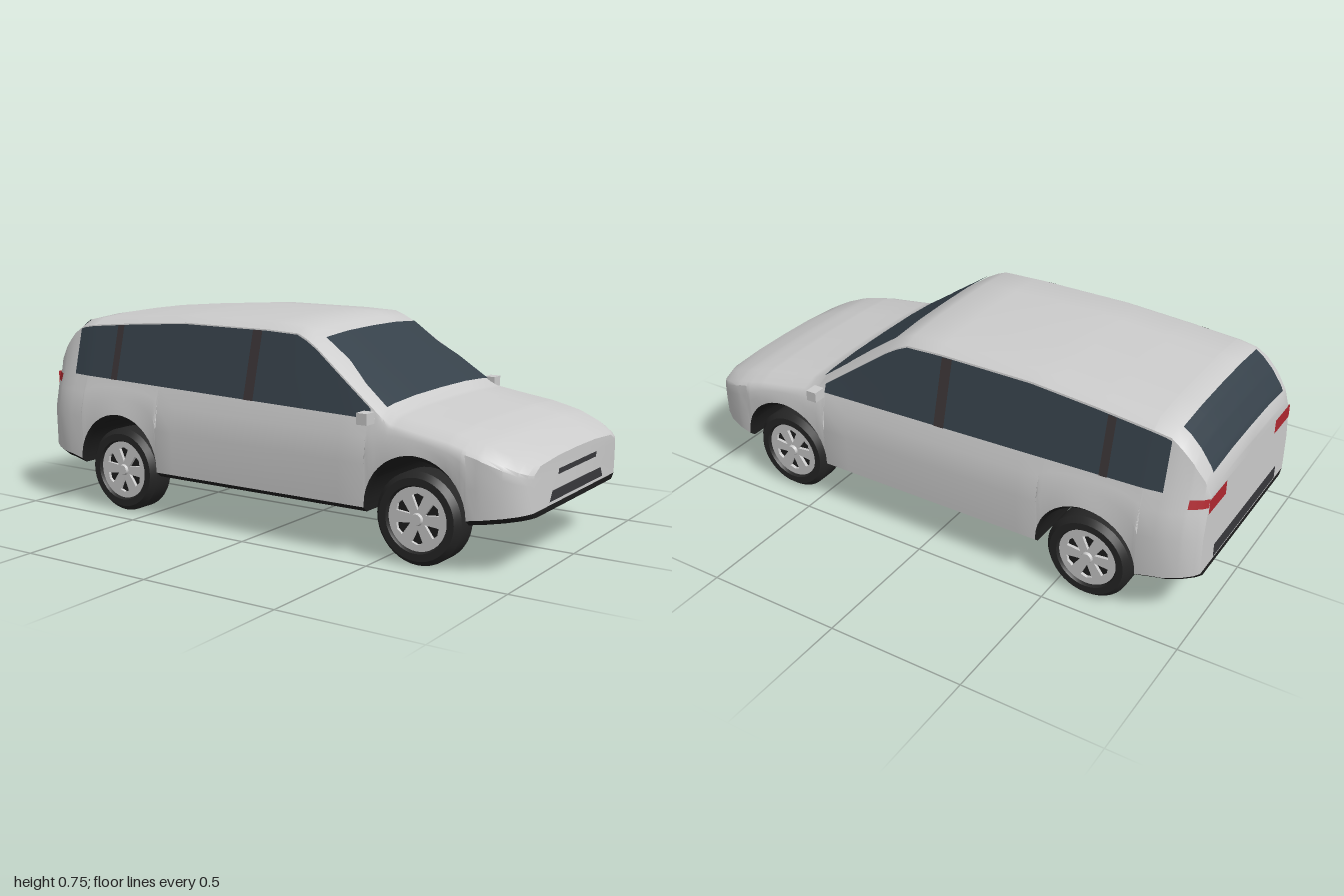
import * as THREE from 'three';
import { toCreasedNormals } from 'three/addons/utils/BufferGeometryUtils.js';

const mat = (color) => new THREE.MeshStandardMaterial({ color, side: THREE.DoubleSide });
const paint = mat(0xcccccc), dark = mat(0x1e1e1e), glass = mat(0x36414a);
const trim = mat(0x3a3436), rubber = mat(0x262626), red = mat(0xb02830), slot = mat(0x38383c);

const lerp = THREE.MathUtils.lerp;
// Piecewise linear lookup in [[x, y], ...]
function at(knots, x) {
  let i = 1;
  while (i < knots.length - 1 && x > knots[i][0]) i++;
  const [a, b] = [knots[i - 1], knots[i]];
  return lerp(a[1], b[1], THREE.MathUtils.clamp((x - a[0]) / (b[0] - a[0]), 0, 1));
}

// Centre line of roof and hood, and half width in plan
const roofLine = [[-1, 0.53], [-0.98, 0.58], [-0.94, 0.637], [-0.9, 0.678], [-0.86, 0.705], [-0.8, 0.715],
  [-0.6, 0.733], [-0.36, 0.75], [0, 0.75], [0.13, 0.745], [0.17, 0.728], [0.215, 0.702], [0.35, 0.606],
  [0.49, 0.508], [0.53, 0.487], [0.62, 0.472], [0.75, 0.452], [0.85, 0.428], [0.93, 0.398], [1, 0.365]];
const planLine = [[-1, 0.365], [-0.985, 0.385], [-0.95, 0.41], [-0.9, 0.43], [-0.8, 0.44], [0.8, 0.44],
  [0.87, 0.432], [0.93, 0.412], [0.97, 0.385], [0.99, 0.358], [1, 0.335]];
const WHEEL_X = [-0.62, 0.635], ARCH = 0.185, ARCH_Y = 0.163;

function floorY(x) {
  for (const c of WHEEL_X) {
    const d = Math.abs(x - c);
    if (d < ARCH) return ARCH_Y + Math.sqrt(ARCH * ARCH - d * d);
  }
  return at([[-1, 0.193], [-0.8, 0.165], [-0.43, 0.155], [0.45, 0.155], [0.82, 0.165], [1, 0.193]], x);
}

// Half cross-section [z, y], from the floor centre round to the roof centre
function section(x) {
  const w = at(planLine, x), top = at(roofLine, x), low = floorY(x), lip = low + 0.018;
  const edge = top - 0.035, belt = Math.min(0.473 - 0.025 * x, edge - 0.012);
  const side = (y) => w * (1 - 0.09 * Math.max(0, (y - 0.36) / 0.13) ** 1.3);
  const ze = (0.4 - 0.25 * (edge - 0.49)) * w / 0.44;
  const y1 = lerp(lip, belt, 0.5), y2 = lerp(lip, belt, 0.8);
  return [[0, low], [w - 0.025, low], [w - 0.003, lip], [side(y1), y1], [side(y2), y2], [side(belt), belt],
    [Math.min(ze, side(belt)), edge], [ze * 0.87, top - 0.012], [ze * 0.45, top - 0.002], [0, top]];
}

// Surface from a grid of points fn(i, j)
function grid(nu, nv, fn) {
  const pos = [], idx = [];
  for (let i = 0; i < nu; i++) for (let j = 0; j < nv; j++) pos.push(...fn(i, j));
  for (let i = 0; i < nu - 1; i++) for (let j = 0; j < nv - 1; j++) {
    const a = i * nv + j, b = a + nv;
    idx.push(a, b, a + 1, b, b + 1, a + 1);
  }
  const g = new THREE.BufferGeometry();
  g.setAttribute('position', new THREE.Float32BufferAttribute(pos, 3));
  g.setIndex(idx);
  return toCreasedNormals(g, 0.6);
}

function add(parent, name, geometry, material) {
  const m = new THREE.Mesh(geometry, material);
  m.name = name;
  parent.add(m);
  return m;
}

// Loft stations, denser round the arches; the end stations close to the centre plane
function stations() {
  const xs = [...roofLine, ...planLine].map((p) => p[0]);
  for (const c of WHEEL_X) for (let i = 0; i <= 20; i++) xs.push(c - ARCH * Math.cos(Math.PI * i / 20));
  xs.sort((a, b) => a - b);
  const out = xs.filter((x, i) => i === 0 || x - xs[i - 1] > 1e-4).map((x) => [x, 1]);
  return [[-1, 0], ...out, [1, 0]];
}

function loft(order) {
  const st = stations();
  return grid(st.length, order.length, (i, j) => {
    const [x, open] = st[i], [k, s] = order[j], [z, y] = section(x)[k];
    return [x, y, z * s * open];
  });
}

// Heights on the upper skin and widths on the side skin
const topY = (x, z) => at(section(x).slice(6).reverse(), Math.abs(z));
const sideZ = (x, y) => at(section(x).slice(2, 7).map(([z, h]) => [h, z]), y);

// Pane on the upper skin; half width varies along x
const topPane = (x0, x1, half) => grid(25, 17, (i, j) => {
  const x = lerp(x0, x1, i / 24), z = half(x) * (1 - j / 8);
  return [x, topY(x, z) + 0.006, z];
});

// Pane on one flank between two height rules
const sidePane = (x0, x1, lo, hi, s, off, n = 40) => grid(n, 5, (i, j) => {
  const x = lerp(x0, x1, i / (n - 1)), y = lerp(lo(x), hi(x), j / 4);
  return [x, y, s * (sideZ(x, y) + off)];
});

// Spoked wheel centred on its axle along z
function makeWheel() {
  const wheel = new THREE.Group();
  wheel.name = 'wheel';
  const profile = [[0.106, -0.045], [0.112, -0.057], [0.137, -0.057], [0.155, -0.037],
    [0.155, 0.037], [0.137, 0.057], [0.112, 0.057], [0.106, 0.045], [0.106, -0.045]];
  const tyre = new THREE.LatheGeometry(profile.map(([r, h]) => new THREE.Vector2(r, h)), 40);
  add(wheel, 'tyre', toCreasedNormals(tyre.rotateX(Math.PI / 2), 0.5), rubber);
  add(wheel, 'hubCore', new THREE.CylinderGeometry(0.106, 0.106, 0.06, 32).rotateX(Math.PI / 2), dark);
  const face = new THREE.Shape().absarc(0, 0, 0.108, 0, Math.PI * 2);
  for (let i = 0; i < 6; i++) {
    const a = i * Math.PI / 3 + Math.PI / 6;
    const p = (r, d) => new THREE.Vector2(r * Math.cos(a + d), r * Math.sin(a + d));
    face.holes.push(new THREE.Path([p(0.03, 0), p(0.08, -0.27), p(0.085, 0), p(0.08, 0.27)]));
  }
  const rim = new THREE.ExtrudeGeometry(face, { depth: 0.012, bevelEnabled: false, curveSegments: 20 });
  for (const s of [0, 1]) {
    const side = new THREE.Group();
    side.name = 'rimSide';
    add(side, 'rim', rim, paint).position.z = 0.034;
    add(side, 'hubCap', new THREE.CylinderGeometry(0.018, 0.022, 0.012, 16).rotateX(Math.PI / 2), paint).position.z = 0.05;
    side.rotation.y = s * Math.PI;
    wheel.add(side);
  }
  return wheel;
}

// Thin flat plate on the nose or tail, z half widths at bottom and top
const plate = (x, y0, y1, w0, w1, zc = 0) => grid(2, 2, (i, j) => {
  const w = j ? w1 : w0;
  return [x, j ? y1 : y0, zc + (i ? -w : w) * Math.sign(x)];
});

export function createModel() {
  const car = new THREE.Group();
  car.name = 'estateCar';

  // Painted shell and dark underside with through-going wheel tunnels
  const up = [2, 3, 4, 5, 6, 7, 8], down = [...up].reverse();
  add(car, 'bodyShell', loft([...up.map((k) => [k, 1]), [9, 1], ...down.map((k) => [k, -1])]), paint);
  add(car, 'underbody', loft([[2, -1], [1, -1], [0, 1], [1, 1], [2, 1]]), dark);

  // Front and rear screens
  add(car, 'windscreen', topPane(0.212, 0.492,
    (x) => at([[0.212, 0.298], [0.31, 0.302], [0.395, 0.342], [0.492, 0.362]], x)), glass);
  add(car, 'rearWindow', topPane(-0.986, -0.875, () => 0.298), glass);

  for (const s of [1, -1]) {
    const hand = s > 0 ? 'A' : 'B';
    // Side glazing, pillars and wrap-round lamps
    const lo = (x) => section(x)[5][1] + 0.001, hi = (x) => section(x)[6][1] - 0.004;
    add(car, 'sideGlass' + hand, sidePane(-0.865, 0.455, lo, hi, s, 0.004, 70), glass);
    for (const [a, b] of [[-0.675, -0.645], [-0.055, -0.015]])
      add(car, 'doorPillar' + hand, sidePane(a, b, lo, hi, s, 0.007, 4), trim);
    add(car, 'sideTailLight' + hand, sidePane(-1, -0.948, () => 0.458, () => 0.487, s, 0.004, 12), red);
    add(car, 'tailLight' + hand, plate(-1.003, 0.435, 0.487, 0.068, 0.068, s * 0.28), red);

    // Door mirror on a short arm
    add(car, 'mirror' + hand, new THREE.BoxGeometry(0.04, 0.038, 0.048), paint).position.set(0.465, 0.472, s * 0.453);
    add(car, 'mirrorArm' + hand, new THREE.BoxGeometry(0.02, 0.012, 0.05), paint).position.set(0.465, 0.46, s * 0.412);

    for (const x of WHEEL_X) {
      const wheel = makeWheel();
      wheel.position.set(x, 0.155, s * 0.363);
      car.add(wheel);
    }
  }

  // Nose intakes and rear bumper insert
  add(car, 'grille', plate(1.003, 0.302, 0.32, 0.156, 0.156), slot);
  add(car, 'lowerIntake', plate(1.003, 0.223, 0.257, 0.219, 0.2), slot);
  add(car, 'rearBumperInsert', plate(-1.003, 0.222, 0.272, 0.27, 0.27), slot);
  return car;
}
